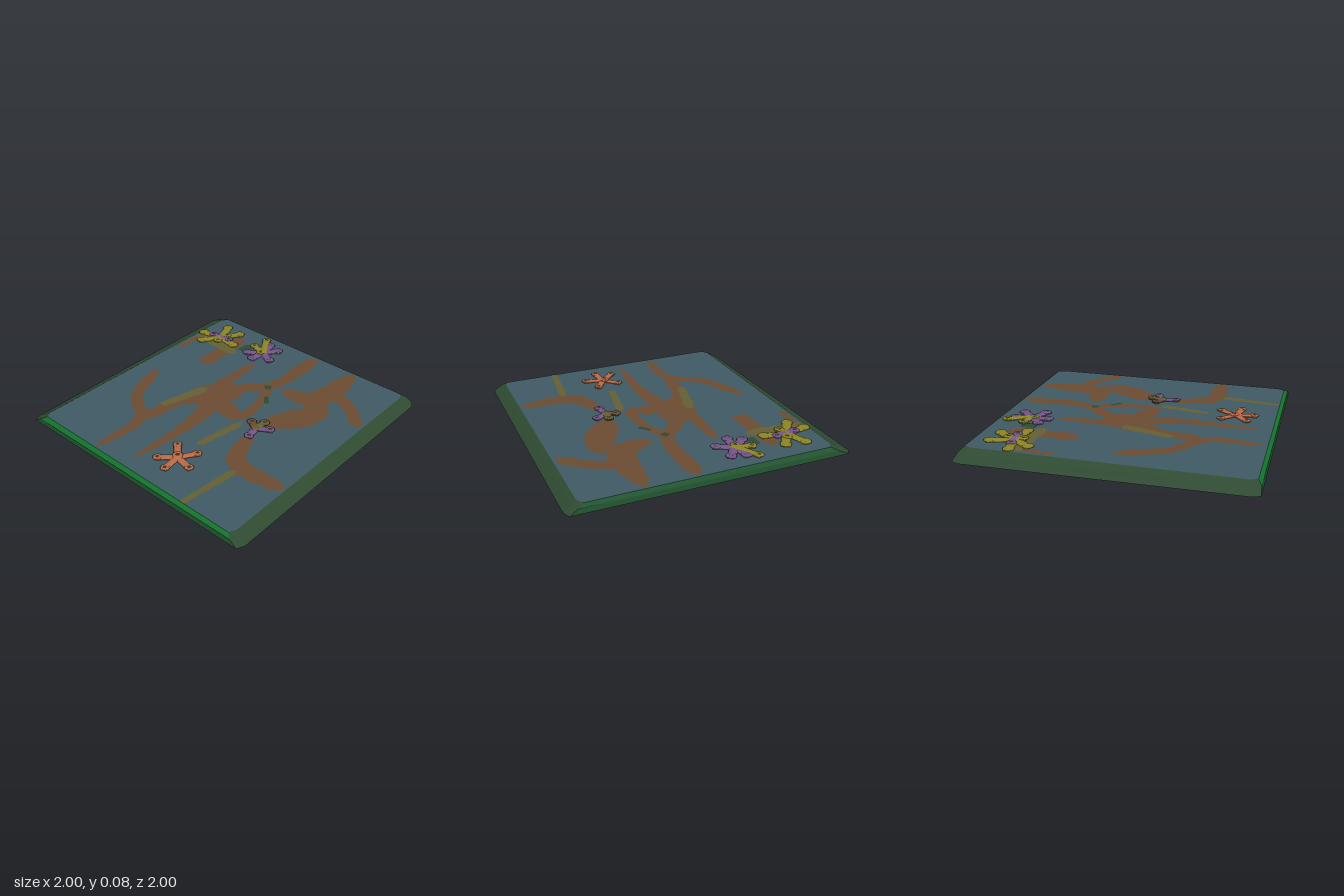
import * as THREE from 'three';

const mat = (name, color) => {
  const m = new THREE.MeshStandardMaterial({ color, side: THREE.DoubleSide });
  m.name = name;
  return m;
};

// Gently tilted height of the seabed
const height = (z) => 0.058 - 0.005 * z;

// Rectangle with cut corners, its back edge slightly skewed
function outline(hx, back, front, skew) {
  const corner = (sx, inset, z, cut) => [sx * (hx - inset), z + cut - (z < 0 ? skew * sx : 0)];
  return [corner(-1, 0, back, .025), corner(-1, .05, back, 0), corner(1, .05, back, 0), corner(1, 0, back, .025),
    corner(1, 0, front, -.025), corner(1, .05, front, 0), corner(-1, .05, front, 0), corner(-1, 0, front, -.025)];
}

// Branching ground patches: each path is a list of [x, z, half width]
const ROCK = [
  [[-.96, -.32, .03], [-.55, -.33, .045], [-.36, -.56, .045], [-.01, -.71, .05]],
  [[-.52, -.31, .06], [-.2, -.28, .06], [.04, -.14, .14], [.27, -.03, .05]],
  [[-.87, -.04, .02], [-.35, -.03, .05], [.05, -.1, .09]],
  [[.05, -.2, .06], [.56, -.2, .03]],
  [[.22, -.08, .06], [.42, .1, .05], [.95, .12, .065]],
  [[0, -.05, .1], [-.06, .17, .05], [.2, .17, .035], [.38, .1, .04]],
  [[0, .36, .06], [.2, .5, .11], [.44, .6, .06]],
  [[.4, .2, .04], [.48, .45, .1], [.95, .48, .055]],
  [[.64, .5, .06], [.57, .68, .05], [.4, .88, .05]],
  [[-.16, .37, .04], [-.45, .5, .07], [-.46, .9, .05]],
  [[.3, -.51, .06], [.8, -.52, .06]],
  [[.36, -.82, .025], [.6, -.82, .02]],
];
const ALGAE = [
  [[-.32, -.34, .03], [.06, -.24, .04]],
  [[-.48, .18, .025], [-.1, .24, .03]],
  [[-.97, .5, .02], [-.52, .55, .03]],
  [[.63, -.84, .06], [.58, -.42, .05]],
];
const MOSS = [
  [[.64, -.4, .04], [.75, -.4, .04]],
  [[.2, .22, .02], [.27, .16, .015]],
  [[.35, .11, .02], [.39, .08, .03]],
];

// Thin ribbon with rounded ends, lying on one face of the seabed
function ribbon(path, lift) {
  const curve = new THREE.CatmullRomCurve3(path.map((p) => new THREE.Vector3(...p)));
  const n = path.length * 8, pos = [], index = [];
  for (let i = 0; i <= n; i++) {
    const u = i / n, p = curve.getPoint(u), t = curve.getTangent(u);
    const len = Math.hypot(t.x, t.y);
    const end = Math.sqrt(Math.min(1, 8 * Math.min(u, 1 - u) + 0.04));
    const w = p.z * end * (1 + 0.12 * Math.sin(i * 1.7 + p.x * 9));
    for (const s of [-1, 1]) {
      const z = p.y + s * w * t.x / len;
      pos.push(p.x - s * w * t.y / len, height(z) + lift, z);
    }
    if (i < n) {
      const a = i * 2;
      index.push(a, a + 1, a + 2, a + 1, a + 3, a + 2);
    }
  }
  const g = new THREE.BufferGeometry();
  g.setAttribute('position', new THREE.Float32BufferAttribute(pos, 3));
  g.setIndex(index);
  g.computeVertexNormals();
  return g;
}

// Unit profile of a coral arm: rounded root, slight waist, flared mouth
const ARM = [[0, -.5], [1.05, -.2], [.9, .2], [.85, .6], [1, .85], [.9, 1], [0, 1.02]];

export function createModel() {
  const root = new THREE.Group();
  root.name = 'reefTile';
  const sand = mat('seabedBlue', 0x405a63);
  const rock = mat('rockBrown', 0x6c4c33);
  const algae = mat('algaeOlive', 0x645f34);
  const moss = mat('mossGreen', 0x2f4a32);
  const bright = mat('brightGreen', 0x13752c);
  const edge = mat('edgeGreen', 0x21522f);
  const orange = mat('coralOrange', 0xba6a47);
  const purple = mat('coralPurple', 0x76548a);
  const yellow = mat('coralYellow', 0x8c8526);
  const dark = mat('holeDark', 0x39351f);

  const add = (name, geometry, material, parent = root) => {
    const m = new THREE.Mesh(geometry, material);
    m.name = name;
    parent.add(m);
  };

  // Seabed sheet
  const rimLine = outline(.968, -.865, .905, 0);
  const bed = new THREE.ShapeGeometry(new THREE.Shape(rimLine.map(([x, z]) => new THREE.Vector2(x, -z))));
  bed.rotateX(-Math.PI / 2);
  const bp = bed.attributes.position;
  for (let i = 0; i < bp.count; i++) bp.setY(i, height(bp.getZ(i)));
  bed.computeVertexNormals();
  add('seabed', bed, sand);

  // Sloping border, open underneath: a lower wall and an upper bevel
  const foot = outline(1, -.985, .995, .015).map(([x, z]) => [x, 0, z]);
  const rim = rimLine.map(([x, z]) => [x, height(z), z]);
  const mid = foot.map(([x, , z], i) => [x + (rim[i][0] - x) * 0.2, 0.035, z + (rim[i][2] - z) * 0.6]);
  const wall = (name, low, high, from, to, material) => {
    const pos = [];
    for (let i = from; i < to; i++) {
      const j = (i + 1) % low.length;
      pos.push(...low[i], ...high[i], ...low[j], ...low[j], ...high[i], ...high[j]);
    }
    const g = new THREE.BufferGeometry();
    g.setAttribute('position', new THREE.Float32BufferAttribute(pos, 3));
    g.computeVertexNormals();
    add(name, g, material);
  };
  for (const [name, from, to, lower, upper] of [['backBorder', 0, 3, moss, moss],
    ['leftBorder', 3, 4, edge, edge], ['frontBorder', 4, 7, moss, moss], ['rightBorder', 7, 8, edge, bright]]) {
    wall(name + 'Wall', foot, mid, from, to, lower);
    wall(name + 'Bevel', mid, rim, from, to, upper);
  }

  // Ground patches on both faces of the seabed sheet
  for (const [name, paths, material, lift] of [['rockPatch', ROCK, rock, 0.002],
    ['algaePatch', ALGAE, algae, 0.003], ['mossPatch', MOSS, moss, 0.004]]) {
    for (const path of paths) for (const s of [-1, 1]) add(name, ribbon(path, s * lift), material);
  }

  // Coral arm: flattened tube from (cx, cz) to an open mouth at (x, z)
  const arm = (parent, cx, cz, x, z, material, r, y) => {
    const len = Math.hypot(x - cx, z - cz) + r * 0.6;
    const g = new THREE.LatheGeometry(ARM.map(([a, b]) => new THREE.Vector2(a * r, b * (b < 0 ? r * 2 : len))), 12);
    g.rotateX(Math.PI / 2);
    g.scale(1, 0.32, 1);
    g.rotateY(Math.atan2(x - cx, z - cz));
    g.translate(cx, y, cz);
    add('coralArm', g, material, parent);
    const lip = new THREE.TorusGeometry(r * 0.72, r * 0.35, 6, 14);
    lip.rotateX(Math.PI / 2);
    lip.scale(1, 0.5, 1);
    lip.translate(x, y + 0.005, z);
    add('coralLip', lip, material, parent);
    const hole = new THREE.CircleGeometry(r * 0.45, 10);
    hole.rotateX(-Math.PI / 2);
    hole.translate(x, y + 0.0105, z);
    add('coralHole', hole, dark, parent);
  };

  // Corals: arms fan out at the given angles, shorter shoots rise between them
  const coral = (name, cx, cz, reach, r, material, angles, shoots) => {
    const group = new THREE.Group();
    group.name = name;
    root.add(group);
    for (const deg of angles) {
      const a = THREE.MathUtils.degToRad(deg);
      arm(group, cx, cz, cx + reach * Math.cos(a), cz + reach * Math.sin(a), material, r, 0.066);
    }
    for (const [x, z, shootMaterial] of shoots) arm(group, cx, cz, x, z, shootMaterial, 0.034, 0.07);
  };
  coral('orangeCoral', -.68, .18, .135, .03, orange, [32, 102, 173, 228, 315], [[-.67, .17, orange]]);
  coral('smallCoral', -.09, .36, .1, .032, purple, [60, 168], [[-.055, .295, rock], [-.005, .37, algae]]);
  coral('yellowCoral', .69, -.67, .165, .038, yellow, [33, 100, 213, 259, 340],
    [[.68, -.74, purple], [.7, -.59, purple], [.74, -.645, yellow], [.63, -.65, yellow]]);
  coral('purpleCoral', .73, -.25, .125, .036, purple, [39, 117, 184, 231, 350],
    [[.715, -.26, yellow], [.76, -.36, yellow], [.89, -.34, yellow]]);
  return root;
}
